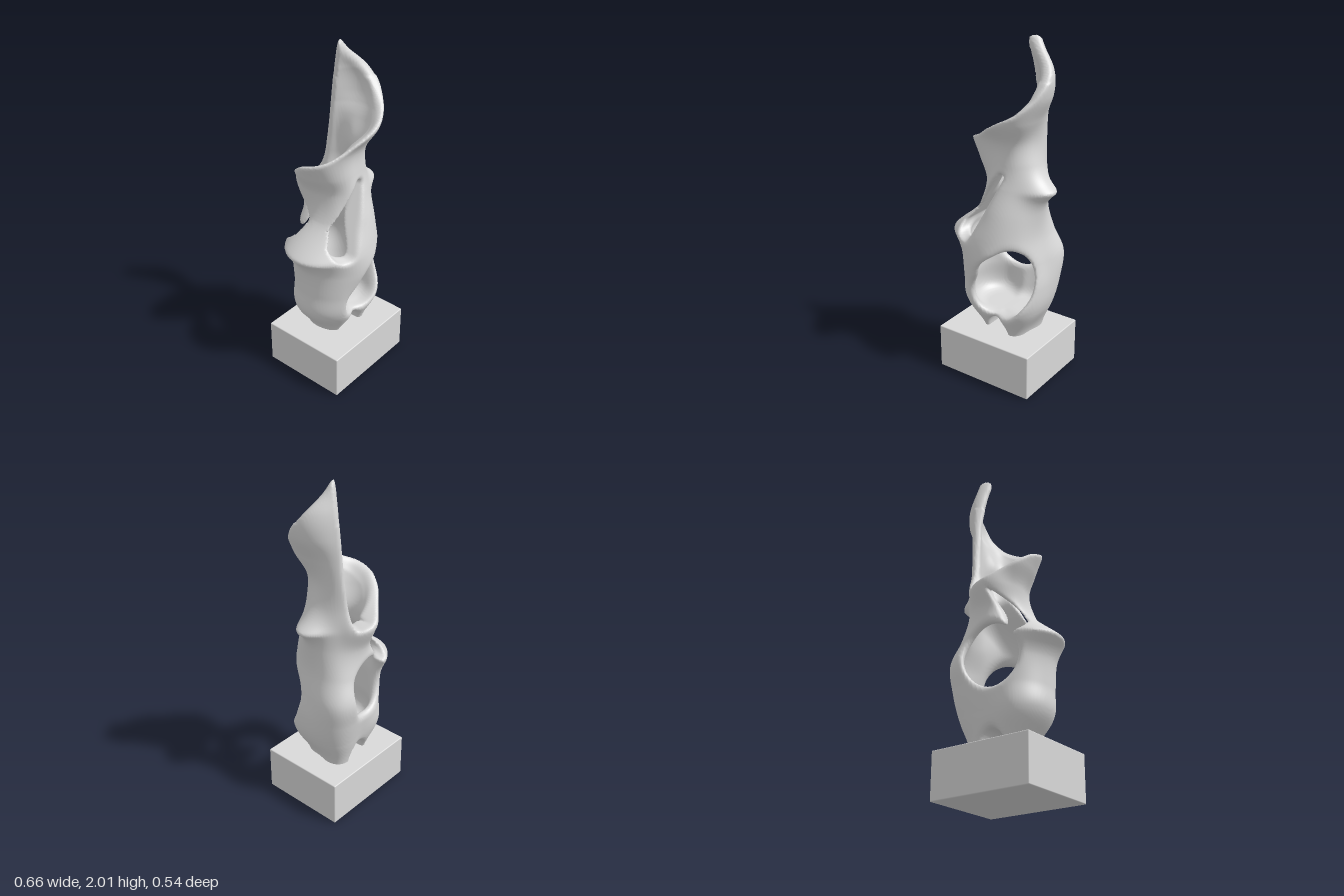
import * as THREE from 'three';
import { RoundedBoxGeometry } from 'three/addons/geometries/RoundedBoxGeometry.js';

const CX = 0.02; // x of the flame's axis
// Outer radius every 45 degrees (from +x towards +z) at each height
const HEIGHTS = [0.27, 0.45, 0.6, 0.75, 0.9, 1.05, 1.2, 1.32, 1.45, 1.58, 1.72, 1.85, 2.0];
const RADII = [
  [0.15, 0.16, 0.10, 0.14, 0.15, 0.17, 0.15, 0.20],
  [0.24, 0.25, 0.18, 0.24, 0.27, 0.25, 0.19, 0.26],
  [0.26, 0.27, 0.22, 0.26, 0.27, 0.25, 0.22, 0.30],
  [0.24, 0.26, 0.265, 0.27, 0.27, 0.26, 0.25, 0.32],
  [0.21, 0.23, 0.25, 0.27, 0.28, 0.26, 0.23, 0.26],
  [0.21, 0.21, 0.21, 0.18, 0.16, 0.18, 0.22, 0.22],
  [0.21, 0.18, 0.16, 0.13, 0.13, 0.19, 0.275, 0.22],
  [0.18, 0.16, 0.13, 0.15, 0.19, 0.24, 0.24, 0.21],
  [0.16, 0.16, 0.13, 0.17, 0.25, 0.26, 0.22, 0.21],
  [0.20, 0.23, 0.21, 0.22, 0.26, 0.25, 0.20, 0.21],
  [0.265, 0.27, 0.23, 0.23, 0.24, 0.24, 0.21, 0.21],
  [0.265, 0.26, 0.23, 0.22, 0.22, 0.22, 0.20, 0.20],
  [0.18, 0.18, 0.18, 0.18, 0.18, 0.18, 0.18, 0.17],
];
// Spiral rim: angle in degrees, height
const RIM = [[-62, 1.25], [-55, 1.45], [-48, 1.75], [-42, 1.97], [-36, 2.02], [-28, 2.0], [-8, 1.91],
  [10, 1.81], [29, 1.71], [50, 1.64], [90, 1.56], [125, 1.5], [180, 1.42], [200, 1.39], [235, 1.3],
  [270, 1.21], [290, 1.19], [298, 1.25]];
// Pointed lips: angle, height, reach, angular width
const LIPS = [[0, 1.18, 0.115, 24], [182, 0.87, 0.088, 42]];
// Openings: centre and radii (front, mid front, lower front, back)
const OPENINGS = [
  [[0.135, 0.66, 0.17], [0.13, 0.195, 0.17]],
  [[0.075, 0.63, 0.2], [0.13, 0.17, 0.17]],
  [[0.04, 0.53, 0.2], [0.15, 0.145, 0.17]],
  [[-0.02, 0.77, -0.22], [0.16, 0.185, 0.16]],
];

const { clamp, lerp } = THREE.MathUtils;
const cubic = (a, b, c, d, t) =>
  b + 0.5 * t * (c - a + t * (2 * a - 5 * b + 4 * c - d + t * (3 * (b - c) + d - a)));
const smax = (a, b, k) => {
  const h = Math.max(k - Math.abs(a - b), 0) / k;
  return Math.max(a, b) + h * h * k * 0.25;
};

function baseRadius(deg, y) {
  const a = ((deg + 360) % 360) / 45;
  const i = Math.floor(a);
  const row = (j) => {
    const r = RADII[clamp(j, 0, RADII.length - 1)];
    return cubic(r[(i + 7) % 8], r[i % 8], r[(i + 1) % 8], r[(i + 2) % 8], a - i);
  };
  let j = 0;
  while (j < HEIGHTS.length - 2 && y > HEIGHTS[j + 1]) j++;
  const t = clamp((y - HEIGHTS[j]) / (HEIGHTS[j + 1] - HEIGHTS[j]), 0, 1);
  return cubic(row(j - 1), row(j), row(j + 1), row(j + 2), t);
}

function rimHeight(deg) {
  const a = deg < -62 ? deg + 360 : deg;
  let i = 0;
  while (i < RIM.length - 2 && a > RIM[i + 1][0]) i++;
  const [p, q] = [RIM[i], RIM[i + 1]];
  return p[1] + (q[1] - p[1]) * (a - p[0]) / (q[0] - p[0]);
}

const ellipsoid = (x, y, z, c, r) =>
  (Math.hypot((x - c[0]) / r[0], (y - c[1]) / r[1], (z - c[2]) / r[2]) - 1) * Math.min(...r);

// Signed field of the flame, negative inside
function flame(x, y, z) {
  const dx = x - CX;
  const r = Math.hypot(dx, z);
  const deg = Math.atan2(z, dx) * 180 / Math.PI;
  const base = baseRadius(deg, y);
  let outer = base;
  for (const [a, h, reach, w] of LIPS) {
    const da = ((deg - a + 540) % 360) - 180;
    outer += reach * Math.exp(-Math.sqrt((y - h) ** 2 + 0.0002) / 0.05 - (da / w) ** 2);
  }
  // smoothed rim and its steepness
  const before = rimHeight(deg - 3);
  const after = rimHeight(deg + 3);
  const rim = (before + 2 * rimHeight(deg) + after) / 4;
  const slope = (after - before) / (0.105 * Math.max(r, 0.05));
  // wall: thick at the tip, thin along the cup's rim
  const sweep = (deg + 360) % 360;
  const thin = clamp((sweep - 20) / 40, 0, 1) * clamp((285 - sweep) / 20, 0, 1);
  const thick = 0.055 + 0.025 * clamp((y - 1.65) / 0.2, 0, 1);
  const wall = lerp(thick, Math.min(thick, 0.026 + Math.max(0, rim - y) * 0.5), thin);
  // hollow shell with a solid floor and a narrow funnel at the waist
  const funnel = Math.hypot(x - 0.02, z + 0.05) - 0.065 - 0.65 * Math.hypot(y - 1.2, 0.05);
  const cavity = smax(smax(r - base + wall, 0.41 - y, 0.06), funnel, 0.04);
  let f = smax(r - outer, -cavity, 0.018);
  f = smax(f, (y - rim) / Math.hypot(1, slope), y > 1.8 ? 0.04 : 0.025);
  for (const [centre, radii] of OPENINGS) f = smax(f, -ellipsoid(x, y, z, centre, radii), 0.04);
  // arch between the feet
  f = smax(f, -(Math.hypot((x - 0.01) / 0.075, (y - 0.26) / 0.11) - 1) * 0.075, 0.03);
  // slanted slot beside the front ribbon, flared in front and closing at the back
  const t = clamp(((x + 0.16) * 0.21 + (y - 0.93) * 0.33) / (0.21 ** 2 + 0.33 ** 2), 0, 1);
  const slot = Math.hypot(x + 0.16 - 0.21 * t, y - 0.93 - 0.33 * t) - (0.036 - 0.024 * t)
    - 0.3 * Math.max(0, z - 0.1) + 0.4 * (t - 0.4) * Math.max(0, -z - 0.08);
  return smax(f, -slot, 0.02);
}

// Surface of a field: one vertex per crossed cell, one quad per crossed edge
function fieldSurface(field, min, max, h) {
  const n = min.map((m, i) => Math.ceil((max[i] - m) / h) + 1);
  const step = [1, n[0], n[0] * n[1]];
  const values = new Float32Array(n[0] * n[1] * n[2]);
  const cell = new Int32Array(values.length).fill(-1);
  const each = (lo, hi, fn) => {
    for (let k = lo; k < n[2] - hi; k++)
      for (let j = lo; j < n[1] - hi; j++)
        for (let i = lo; i < n[0] - hi; i++) fn([i, j, k], i + j * step[1] + k * step[2]);
  };
  each(0, 0, (p, id) => {
    values[id] = field(min[0] + p[0] * h, min[1] + p[1] * h, min[2] + p[2] * h);
  });
  const positions = [];
  const index = [];
  each(0, 1, (p, id) => {
    const sum = [0, 0, 0];
    let count = 0;
    for (let c = 0; c < 8; c++) {
      const bits = [c & 1, (c >> 1) & 1, c >> 2];
      const from = id + bits[0] + bits[1] * step[1] + bits[2] * step[2];
      for (let a = 0; a < 3; a++) {
        if (bits[a]) continue;
        const v0 = values[from];
        const v1 = values[from + step[a]];
        if ((v0 < 0) === (v1 < 0)) continue;
        for (let b = 0; b < 3; b++) sum[b] += bits[b];
        sum[a] += v0 / (v0 - v1);
        count++;
      }
    }
    if (!count) return;
    cell[id] = positions.length / 3;
    for (let b = 0; b < 3; b++) positions.push(min[b] + (p[b] + sum[b] / count) * h);
  });
  each(1, 1, (p, id) => {
    for (let a = 0; a < 3; a++) {
      const inside = values[id] < 0;
      if (inside === (values[id + step[a]] < 0)) continue;
      const sb = step[(a + 1) % 3];
      const sc = step[(a + 2) % 3];
      const q = [cell[id - sb - sc], cell[id - sc], cell[id], cell[id - sb]];
      if (!inside) q.reverse();
      index.push(q[0], q[1], q[2], q[0], q[2], q[3]);
    }
  });
  const geometry = new THREE.BufferGeometry();
  geometry.setAttribute('position', new THREE.Float32BufferAttribute(positions, 3));
  geometry.setIndex(index);
  geometry.computeVertexNormals();
  return geometry;
}

export function createModel() {
  const group = new THREE.Group();
  group.name = 'flameSculpture';
  const stone = new THREE.MeshStandardMaterial({ color: 0xd8d8d8 });
  stone.name = 'light grey stone';

  // Rectangular plinth
  const plinth = new THREE.Mesh(new RoundedBoxGeometry(0.63, 0.275, 0.53, 2, 0.006), stone);
  plinth.name = 'plinth';
  plinth.position.set(0.015, 0.1375, 0.005);

  // Twisting hollow flame
  const body = new THREE.Mesh(
    fieldSurface(flame, [-0.38, 0.245, -0.33], [0.38, 2.04, 0.33], 0.009), stone);
  body.name = 'flame';

  group.add(plinth, body);
  return group;
}
